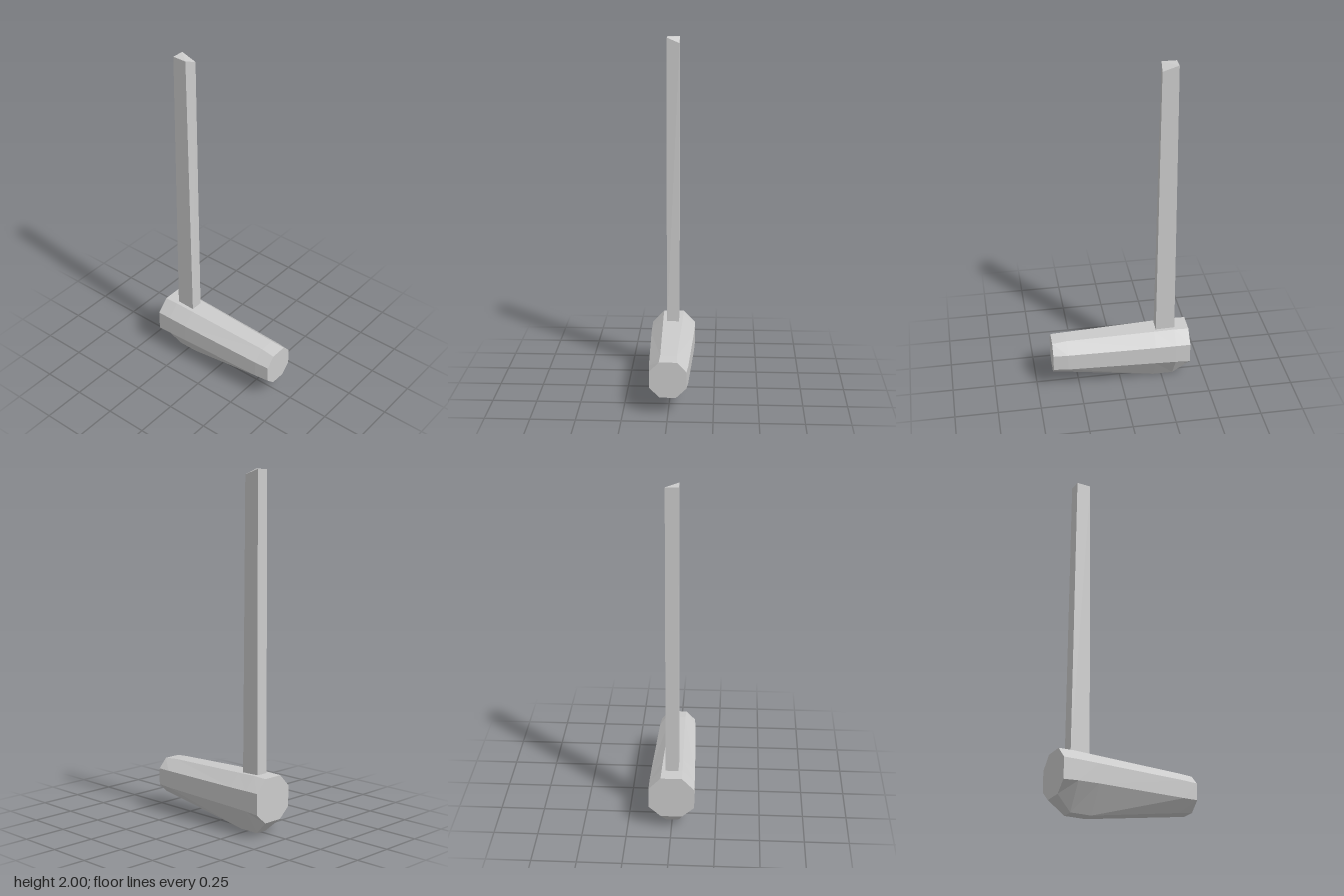
import * as THREE from 'three';

// Joins equal-sized rings of points (counter-clockwise seen from the far end) and closes both ends.
function loft(rings, flip = () => false) {
  const pos = [];
  const tri = (...pts) => pts.forEach((p) => pos.push(...p));
  const n = rings[0].length;
  for (let s = 0; s < rings.length - 1; s++) {
    for (let i = 0; i < n; i++) {
      const j = (i + 1) % n;
      const a = rings[s][i], b = rings[s][j], c = rings[s + 1][j], d = rings[s + 1][i];
      if (flip(i)) { tri(a, b, d); tri(b, c, d); }
      else { tri(a, b, c); tri(a, c, d); }
    }
  }
  const first = rings[0], last = rings[rings.length - 1];
  for (let i = 1; i < n - 1; i++) {
    tri(first[0], first[i + 1], first[i]);
    tri(last[0], last[i], last[i + 1]);
  }
  const geo = new THREE.BufferGeometry();
  geo.setAttribute('position', new THREE.Float32BufferAttribute(pos, 3));
  geo.computeVertexNormals();
  return geo;
}

export function createModel() {
  const model = new THREE.Group();
  const material = new THREE.MeshStandardMaterial({ color: 0xcccccc, flatShading: true });
  const add = (name, geo) => {
    const mesh = new THREE.Mesh(geo, material);
    mesh.name = name;
    model.add(mesh);
  };

  // Head: eight-sided sections along x, with a keel under the handle.
  // x, top y, top half width, shoulder y, half width, lower y, bottom y, bottom half width
  const sections = [
    [-0.405, 0.33, 0.06, 0.26, 0.128, 0.14, 0.08, 0.06],
    [-0.32, 0.332, 0.059, 0.26, 0.128, 0.145, 0, 0.035],
    [-0.2, 0.328, 0.057, 0.258, 0.126, 0.148, 0, 0.035],
    [0.32, 0.312, 0.046, 0.252, 0.109, 0.152, 0.087, 0.043],
    [0.405, 0.305, 0.05, 0.25, 0.102, 0.155, 0.1, 0.045],
  ];
  const headRings = sections.map(([x, ty, tw, sy, w, ly, by, bw]) => {
    const half = [[x, ty, tw], [x, sy, w], [x, ly, w], [x, by, bw]];
    const mirrored = half.map(([px, py, pz]) => [px, py, -pz]).reverse();
    return [...half, ...mirrored];
  });
  add('head', loft(headRings, (i) => i < 3));

  // Handle: tapered square bar whose top has one lowered corner.
  const z = 0.036;
  add('handle', loft([
    [[-0.213, 0.28, z], [-0.213, 0.28, -z], [-0.325, 0.28, -z], [-0.325, 0.28, z]],
    [[-0.231, 2, z], [-0.223, 1.97, -z], [-0.314, 2, -z], [-0.314, 2, z]],
  ]));

  return model;
}
